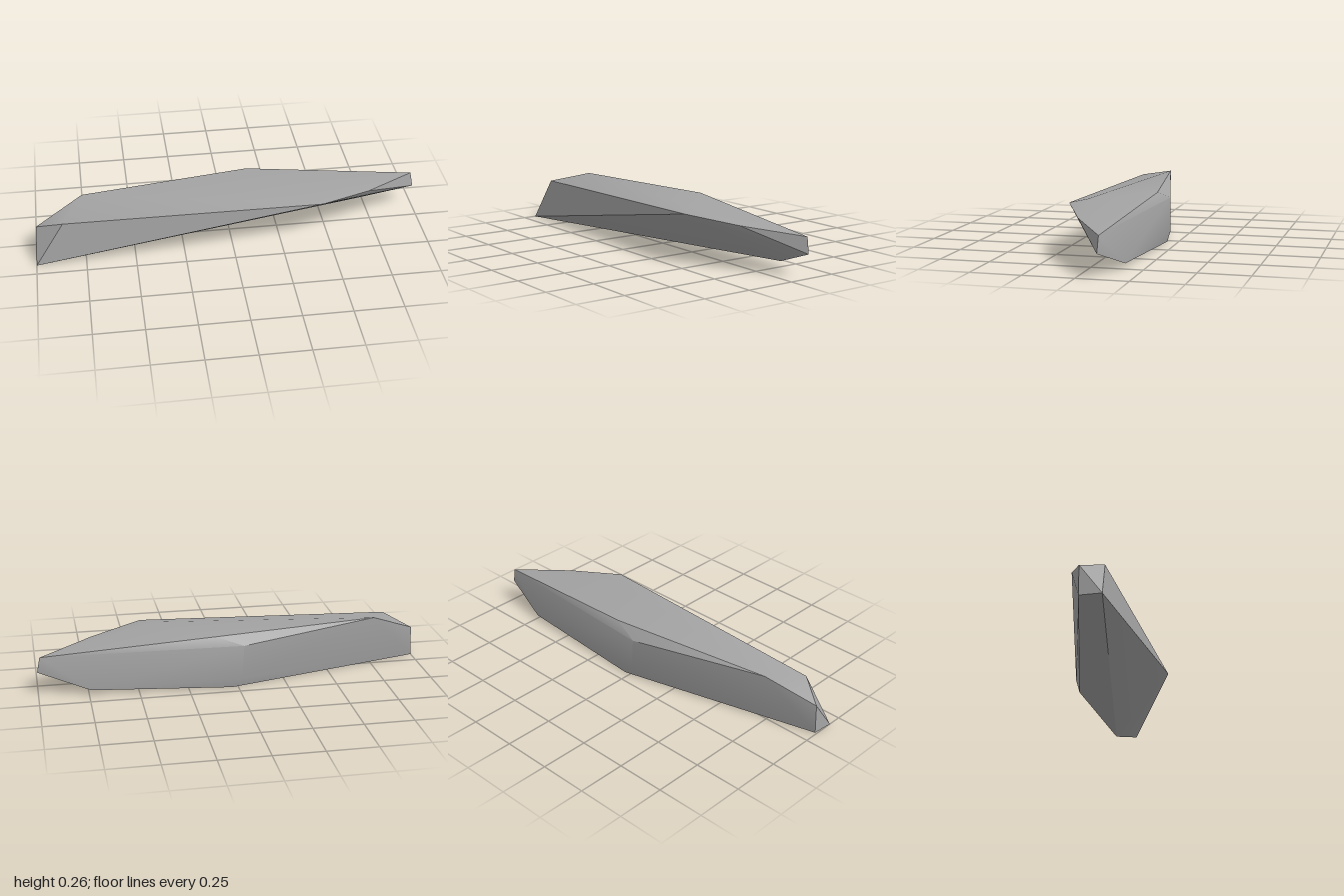
import * as THREE from 'three';
import { ConvexGeometry } from 'three/addons/geometries/ConvexGeometry.js';
import { toCreasedNormals } from 'three/addons/utils/BufferGeometryUtils.js';

export function createModel() {
  const group = new THREE.Group();
  group.name = 'stoneShard';
  const stone = new THREE.MeshStandardMaterial({ color: 0xa3a3a3 });
  stone.name = 'grey stone';

  // Corners of the faceted shard
  const corners = [
    // blunt end
    [-1, 0, 0.18], [-0.995, 0.005, 0.07], [-0.99, 0.16, 0.07], [-0.855, 0.225, 0.157],
    // top plateau
    [-0.75, 0.265, -0.03], [0.11, 0.265, -0.16], [0.4, 0.265, 0.115],
    // front shoulder
    [0.45, 0.25, 0.198], [0.715, 0.222, 0.072],
    // pointed end
    [0.985, 0.195, -0.106], [1, 0.115, -0.102], [0.74, 0.025, -0.162],
    // back bulge
    [-0.03, 0.22, -0.195], [-0.02, 0.045, -0.198], [0.03, 0, -0.193],
  ].map((p) => new THREE.Vector3(...p));

  // Soft shading across shallow angles, crisp along the strong ridges
  const geometry = toCreasedNormals(new ConvexGeometry(corners), THREE.MathUtils.degToRad(30));
  const shard = new THREE.Mesh(geometry, stone);
  shard.name = 'shard';
  group.add(shard);
  return group;
}
